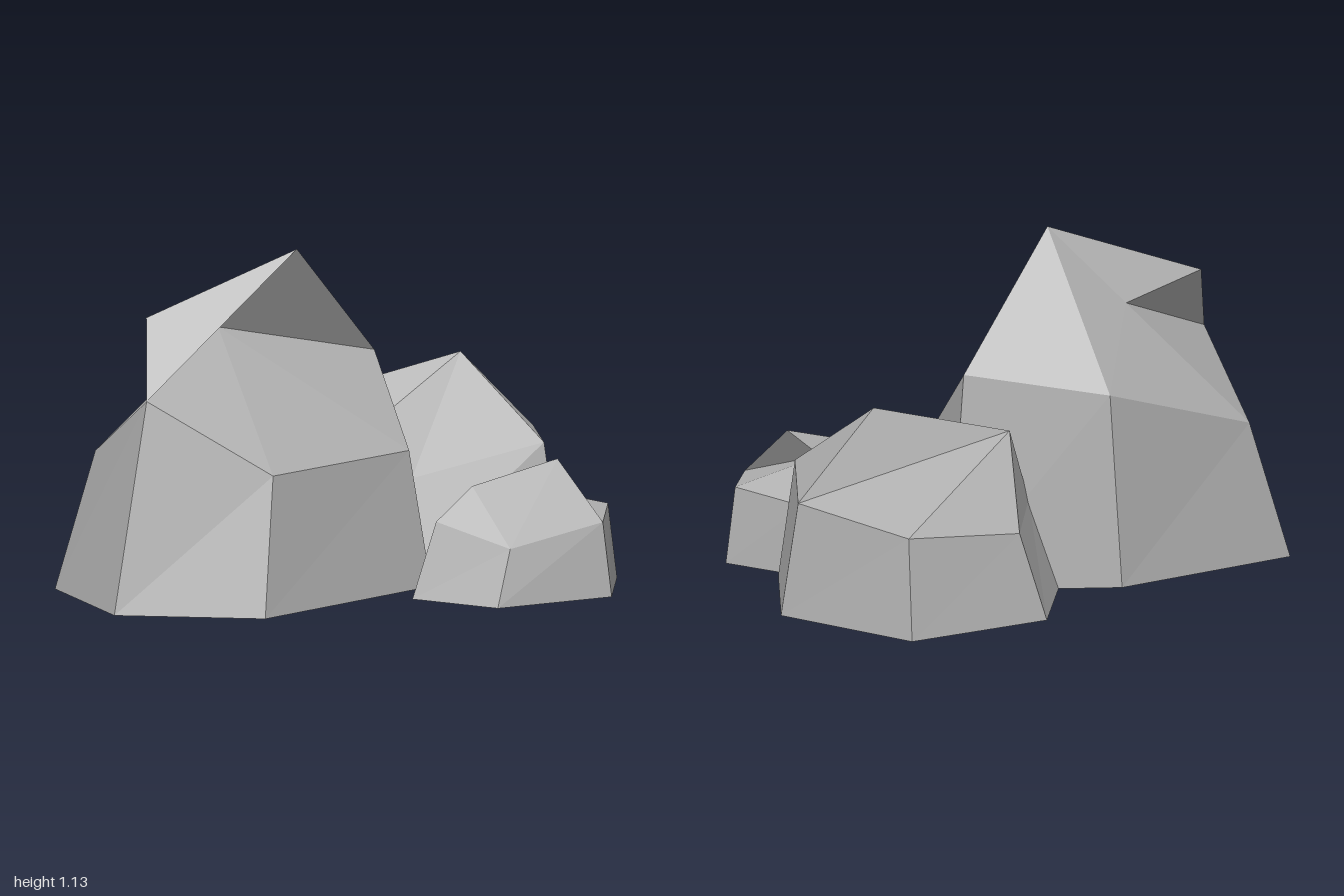
import * as THREE from 'three';

// Faceted boulder: a ground outline, a shoulder ring (both anticlockwise from above),
// a few crest points, and the faces closing the crown (indices into shoulder + crest).
function makeRock(name, material, { base, shoulder, crest, crown }) {
  const n = base.length;
  const ground = base.map(([x, z]) => [x, 0, z]);
  const upper = [...shoulder, ...crest];
  const positions = [];
  const tri = (a, b, c) => positions.push(...a, ...b, ...c);

  for (let i = 0; i < n; i++) {
    const j = (i + 1) % n;
    // Leaning side wall
    tri(ground[i], ground[j], upper[j]);
    tri(ground[i], upper[j], upper[i]);
    // Flat underside
    if (i > 0 && i < n - 1) tri(ground[0], ground[i + 1], ground[i]);
  }
  // Crown facets
  for (const [a, b, c] of crown) tri(upper[a], upper[b], upper[c]);

  const geometry = new THREE.BufferGeometry();
  geometry.setAttribute('position', new THREE.Float32BufferAttribute(positions, 3));
  geometry.computeVertexNormals();
  const mesh = new THREE.Mesh(geometry, material);
  mesh.name = name;
  return mesh;
}

// Tall boulder with an overhanging peak
const tallRock = {
  base: [[-0.66, 0.3], [0.12, 0.235], [0.34, -0.24], [-0.14, -0.555], [-0.85, -0.545], [-1, -0.07]],
  shoulder: [
    [-0.57, 0.46, 0.235], [0.075, 0.455, 0.175], [0.255, 0.715, -0.21],
    [-0.14, 0.64, -0.49], [-0.73, 0.46, -0.48], [-0.85, 0.7, -0.08],
  ],
  crest: [[-0.4, 0.87, -0.24], [-0.195, 1.13, -0.08], [-0.71, 0.94, -0.245]],
  crown: [
    [0, 1, 6], [1, 2, 6], [6, 2, 7], [2, 3, 7], [3, 6, 7], [3, 4, 6], [4, 5, 6], [5, 0, 6],
    // Overhanging peak
    [5, 7, 8], [8, 7, 6], [5, 6, 7], [5, 8, 6],
  ],
};

// Broad boulder with a sloping ridge
const broadRock = {
  base: [[0.655, 0.275], [0.995, -0.18], [0.88, -0.74], [0.34, -0.77], [0, -0.4], [0.15, 0.065]],
  shoulder: [
    [0.655, 0.41, 0.185], [0.935, 0.375, -0.195], [0.84, 0.33, -0.67],
    [0.4, 0.29, -0.7], [0.08, 0.29, -0.335], [0.25, 0.31, -0.015],
  ],
  crest: [[0.635, 0.66, -0.215], [0.21, 0.555, -0.4]],
  crown: [
    [0, 1, 6], [1, 7, 6], [1, 2, 7], [2, 3, 7],
    [3, 4, 7], [4, 6, 7], [4, 5, 6], [5, 0, 6],
  ],
};

// Small boulder with a jutting tip
const smallRock = {
  base: [[0.04, 0.665], [0.455, 0.76], [0.685, 0.52], [0.6, 0.23], [0.24, 0.185], [-0.07, 0.36]],
  shoulder: [
    [0.12, 0.185, 0.635], [0.455, 0.245, 0.715], [0.65, 0.255, 0.515],
    [0.575, 0.23, 0.245], [0.28, 0.18, 0.225], [0.025, 0.25, 0.37],
  ],
  crest: [[0.455, 0.425, 0.485], [0.165, 0.355, 0.39], [0.36, 0.335, 0.43]],
  crown: [
    [0, 1, 6], [0, 6, 7], [5, 0, 7], [1, 8, 6], [1, 2, 8],
    [2, 3, 8], [3, 4, 8], [4, 7, 8], [4, 5, 7], [7, 6, 8],
  ],
};

export function createModel() {
  const stone = new THREE.MeshStandardMaterial({
    name: 'grey stone', color: 0xb0b0b0, flatShading: true, side: THREE.DoubleSide,
  });
  const group = new THREE.Group();
  group.name = 'rocks';
  group.add(
    makeRock('tallRock', stone, tallRock),
    makeRock('broadRock', stone, broadRock),
    makeRock('smallRock', stone, smallRock),
  );
  return group;
}
